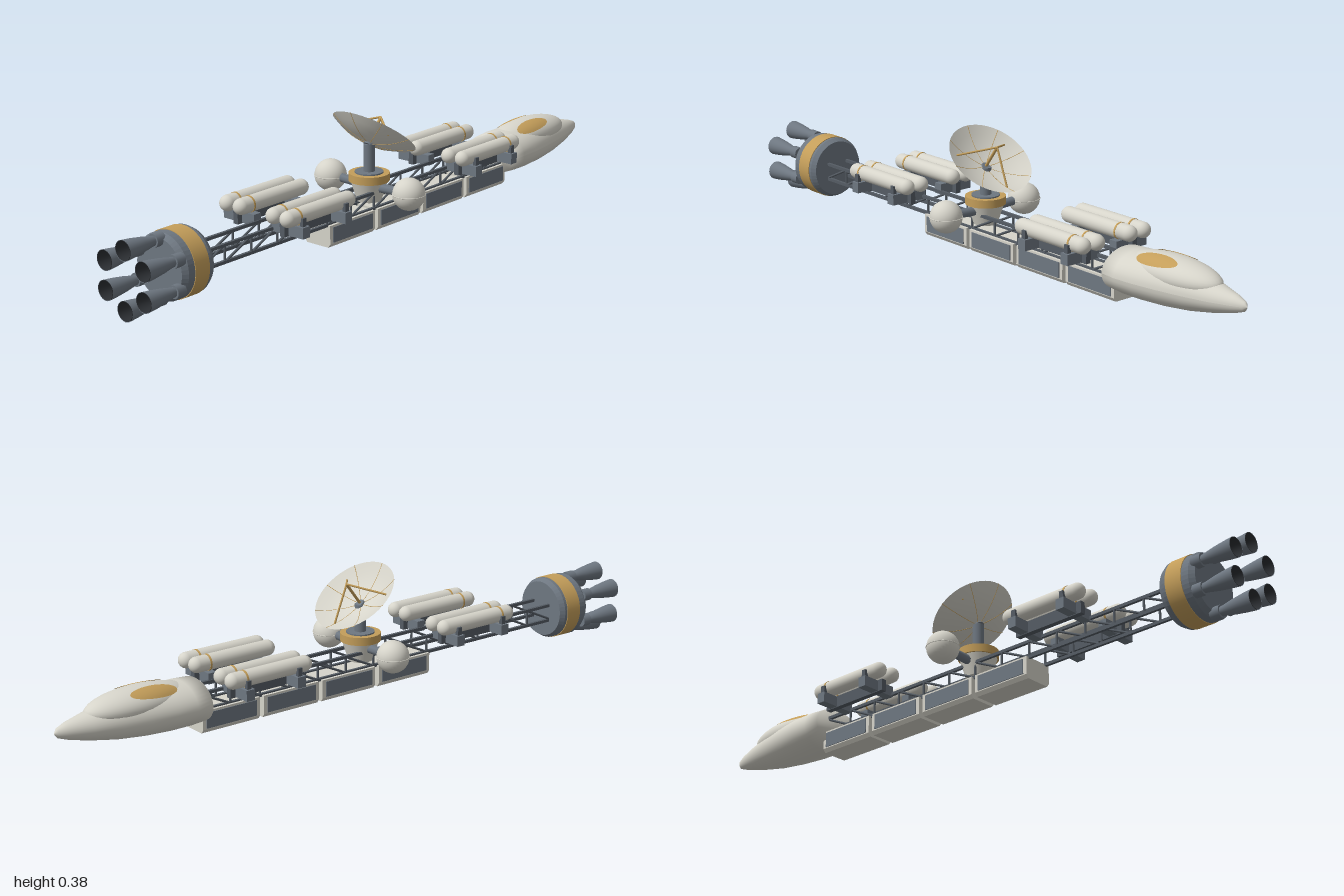
import * as THREE from 'three';

const mat = (name, color) => {
  const m = new THREE.MeshStandardMaterial({ color, side: THREE.DoubleSide });
  m.name = name;
  return m;
};

export function createModel() {
  const white = mat('hull white', 0xd6d4ca);
  const slate = mat('slate grey', 0x6e7781);
  const dark = mat('dark steel', 0x555c64);
  const gold = mat('gold', 0xc49e5a);
  const black = mat('nozzle black', 0x2c2f33);
  const model = new THREE.Group();
  model.name = 'spaceship';

  const add = (name, geo, material, x = 0, y = 0, z = 0, parent = model) => {
    const m = new THREE.Mesh(geo, material);
    m.name = name;
    m.position.set(x, y, z);
    parent.add(m);
    return m;
  };
  const box = (name, w, h, d, material, x, y, z, parent) =>
    add(name, new THREE.BoxGeometry(w, h, d), material, x, y, z, parent);
  const V = (x, y, z) => new THREE.Vector3(x, y, z);
  // straight rod between two points
  const rod = (name, a, b, r, material, parent) => {
    const dir = b.clone().sub(a);
    const m = add(name, new THREE.CylinderGeometry(r, r, dir.length(), 8), material, 0, 0, 0, parent);
    m.position.copy(a).add(b).multiplyScalar(0.5);
    m.quaternion.setFromUnitVectors(V(0, 1, 0), dir.normalize());
    return m;
  };
  const lathe = (pts, n = 32) => new THREE.LatheGeometry(pts.map(p => new THREE.Vector2(...p)), n);
  const alongX = geo => geo.rotateZ(-Math.PI / 2);

  // Crew hull, lofted from elliptical sections: x, centre y, half height, half width
  const sections = [[0.55, 0.109, 0, 0], [0.55, 0.109, 0.061, 0.088], [0.6, 0.109, 0.064, 0.093],
    [0.66, 0.109, 0.065, 0.09], [0.74, 0.109, 0.062, 0.079], [0.82, 0.109, 0.054, 0.064],
    [0.9, 0.109, 0.039, 0.044], [0.96, 0.11, 0.025, 0.024], [0.99, 0.11, 0.014, 0.011], [1, 0.11, 0, 0]];
  const hull = lathe(sections.map((s, i) => [1, i]), 40);
  const hp = hull.attributes.position;
  for (let i = 0; i < hp.count; i++) {
    const [x, cy, hy, hz] = sections[Math.round(hp.getY(i))];
    hp.setXYZ(i, x, cy - hp.getX(i) * hy, hp.getZ(i) * hz);
  }
  hull.computeVertexNormals();
  add('crewHull', hull, white);

  // Canopy blister with an oval window draped over each side
  const can = { x: 0.735, y: 0.14, rx: 0.17, ry: 0.048, rz: 0.069 };
  add('canopy', new THREE.SphereGeometry(1, 40, 24), white, can.x, can.y, 0).scale.set(can.rx, can.ry, can.rz);
  for (const s of [-1, 1]) {
    const pane = new THREE.RingGeometry(0, 1, 32, 6).rotateX(-Math.PI / 2);
    const p = pane.attributes.position;
    for (let i = 0; i < p.count; i++) {
      const x = 0.71 + 0.074 * p.getX(i), z = s * 0.04 + 0.021 * p.getZ(i);
      const h = Math.sqrt(1 - ((x - can.x) / can.rx) ** 2 - (z / can.rz) ** 2);
      p.setXYZ(i, x, can.y + can.ry * h + 0.0015, z);
    }
    pane.computeVertexNormals();
    add('canopyWindow', pane, gold);
  }

  // Truss spine: four longerons, side posts and diagonals
  const truss = new THREE.Group();
  truss.name = 'truss';
  model.add(truss);
  const x0 = -0.77, x1 = 0.56, yLow = 0.085, yHigh = 0.133, bays = 13;
  for (const z of [-0.035, 0.035]) {
    for (const y of [yLow, yHigh]) box('longeron', x1 - x0, 0.009, 0.009, dark, (x0 + x1) / 2, y, z, truss);
    for (let i = 0; i < bays; i++) {
      const a = x0 + (x1 - x0) * i / bays, b = x0 + (x1 - x0) * (i + 1) / bays;
      rod('post', V(a, yLow, z), V(a, yHigh, z), 0.0035, dark, truss);
      rod('diagonal', V(a, yLow, z), V(b, yHigh, z), 0.0035, dark, truss);
    }
  }

  // Engine drum
  const cy = 0.115;
  const drum = alongX(lathe([[0, -0.875], [0.084, -0.875], [0.095, -0.86], [0.095, -0.775],
    [0.086, -0.76], [0, -0.76]], 48).toNonIndexed());
  drum.computeVertexNormals();
  add('engineDrum', drum, slate, 0, cy, 0);
  add('engineBand', alongX(new THREE.CylinderGeometry(0.097, 0.097, 0.052, 48)), gold, -0.811, cy, 0);

  // Six bell nozzles around the drum axis, with dark liners
  const bellProfile = [[0.029, -1], [0.026, -0.97], [0.021, -0.935], [0.015, -0.905], [0.013, -0.89]];
  const bell = alongX(lathe(bellProfile, 24));
  const liner = alongX(lathe(bellProfile.map(([r, x]) => [r - 0.0015, x]), 24));
  const throat = alongX(new THREE.CylinderGeometry(0.019, 0.019, 0.03, 16));
  for (let i = 0; i < 6; i++) {
    const a = Math.PI / 2 + i * Math.PI / 3;
    const y = 0.112 + 0.083 * Math.sin(a), z = 0.083 * Math.cos(a);
    add('nozzle', bell, slate, 0, y, z);
    add('nozzleLiner', liner, black, 0, y, z);
    add('nozzleThroat', throat, slate, -0.88, y, z);
  }

  // Two racks of four capsule tanks
  const tank = alongX(new THREE.CapsuleGeometry(0.0235, 0.242, 8, 24));
  const strap = alongX(new THREE.CylinderGeometry(0.0245, 0.0245, 0.006, 24));
  for (const [cx, bandX] of [[-0.382, -0.472], [0.381, 0.467]]) {
    const rack = new THREE.Group();
    rack.name = 'tankRack';
    rack.position.x = cx;
    model.add(rack);
    for (const s of [-1, 1]) {
      for (const x of [-0.087, 0.087]) {
        box('rackArm', 0.028, 0.032, 0.117, slate, x, 0.141, s * 0.0915, rack);
        box('tankClip', 0.014, 0.03, 0.012, dark, x, 0.166, s * 0.138, rack);
      }
      box('rackRail', 0.235, 0.036, 0.017, dark, 0, 0.141, s * 0.088, rack);
      for (const z of [0.062, 0.114]) {
        add('tank', tank, white, 0, 0.18, s * z, rack);
        add('tankStrap', strap, gold, bandX - cx, 0.18, s * z, rack);
      }
    }
  }

  // Four cargo containers with slate side panels
  const profile = new THREE.Shape([[-0.04, 0.019], [0.04, 0.019], [0.048, 0.03], [0.048, 0.085],
    [-0.048, 0.085], [-0.048, 0.03]].map(p => new THREE.Vector2(...p)));
  const container = new THREE.ExtrudeGeometry(profile, { depth: 0.194, bevelEnabled: false });
  container.translate(0, 0, -0.097).rotateY(Math.PI / 2);
  for (let i = 0; i < 4; i++) {
    const x = -0.162 + i * 0.208;
    add('cargoContainer', container, white, x, 0, 0);
    for (const s of [-1, 1]) box('containerPanel', 0.17, 0.046, 0.004, slate, x, 0.056, s * 0.0485);
  }

  // Middle module: spherical tanks, hub, gold collar and mast
  const mx = -0.034;
  const seam = new THREE.TorusGeometry(0.048, 0.0015, 6, 40).rotateX(Math.PI / 2);
  for (const s of [-1, 1]) {
    add('sphereTank', new THREE.SphereGeometry(0.048, 32, 24), white, mx, 0.147, s * 0.15);
    add('sphereSeam', seam, white, mx, 0.147, s * 0.15);
    rod('sphereArm', V(mx, 0.142, 0), V(mx, 0.147, s * 0.12), 0.014, slate);
  }
  add('hub', new THREE.CylinderGeometry(0.055, 0.036, 0.06, 32), white, mx, 0.13, 0);
  add('collar', new THREE.CylinderGeometry(0.06, 0.06, 0.024, 36), gold, mx, 0.172, 0);
  add('collarTop', new THREE.CylinderGeometry(0.042, 0.042, 0.006, 32), slate, mx, 0.185, 0);
  add('mast', new THREE.CylinderGeometry(0.017, 0.017, 0.085, 24), slate, mx, 0.227, 0);

  // Tilted dish with fine ribs and a tripod feed
  const dish = new THREE.Group();
  dish.name = 'dish';
  dish.position.set(mx, 0.27, 0);
  dish.rotation.z = -0.645;
  model.add(dish);
  const R = 0.13, depth = r => 0.038 * (r / R) ** 2;
  const curve = [0, 0.2, 0.4, 0.6, 0.8, 1].map(t => [t * R, depth(t * R)]);
  add('dishBowl', lathe(curve, 48), white, 0, 0, 0, dish);
  for (let i = 0; i < 8; i++) {
    const a = i * Math.PI / 4;
    const path = new THREE.CatmullRomCurve3(curve.map(([r, y]) => V(r * Math.cos(a), y, r * Math.sin(a))));
    add('dishRib', new THREE.TubeGeometry(path, 12, 0.0009, 5), gold, 0, 0, 0, dish);
  }
  add('dishMount', new THREE.CylinderGeometry(0.012, 0.016, 0.01, 20), slate, 0, 0, 0, dish);
  const tip = V(0, 0.086, 0);
  rod('feedMast', V(0, 0, 0), tip, 0.0045, gold, dish);
  for (const a of [0, 2.03, -2.03]) {
    rod('feedStrut', V(0.102 * Math.cos(a), depth(0.102), 0.102 * Math.sin(a)), tip, 0.003, gold, dish);
  }
  return model;
}
